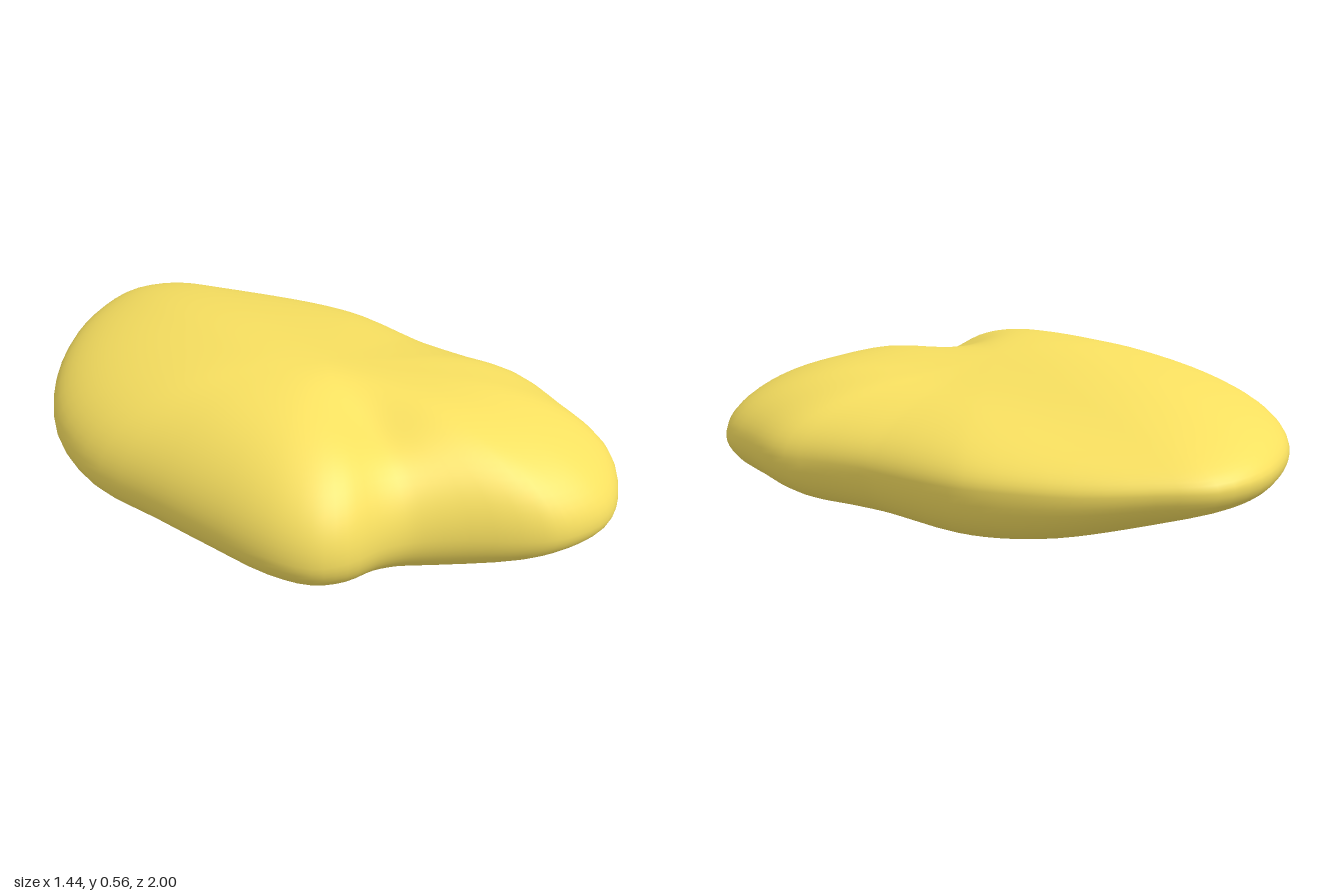
import * as THREE from 'three';
import { mergeVertices } from 'three/addons/utils/BufferGeometryUtils.js';

// Widest outline of the nugget, clockwise from the back: x, z, height of the rim
const OUTLINE = [
  [-0.04, -1, 0.345], [0.12, -0.97, 0.34], [0.24, -0.85, 0.33], [0.38, -0.67, 0.31], [0.5, -0.46, 0.3],
  [0.56, -0.3, 0.29], [0.6, 0, 0.27], [0.615, 0.08, 0.27], [0.665, 0.25, 0.26], [0.717, 0.41, 0.25],
  [0.69, 0.62, 0.23], [0.65, 0.81, 0.21], [0.53, 0.94, 0.2], [0.41, 0.998, 0.2], [0.28, 0.993, 0.2],
  [0.17, 0.95, 0.2], [0, 0.8, 0.2], [-0.09, 0.73, 0.2], [-0.16, 0.69, 0.2], [-0.25, 0.67, 0.21],
  [-0.38, 0.67, 0.22], [-0.48, 0.62, 0.22], [-0.56, 0.49, 0.23], [-0.62, 0.25, 0.24], [-0.67, 0, 0.24],
  [-0.72, -0.25, 0.24], [-0.69, -0.47, 0.26], [-0.57, -0.67, 0.3], [-0.38, -0.85, 0.33], [-0.21, -0.95, 0.34],
];
const CENTRE = { x: 0, z: 0.1 };

const bump = (x, z, cx, cz, wx, wz) => Math.exp(-(((x - cx) / wx) ** 2) - ((z - cz) / wz) ** 2);

// Upper level: high left ridge, lower right lobe and the valley between the lobes
function topLevel(x, z) {
  const ridge = 0.075 * (1 - THREE.MathUtils.smoothstep(x, -0.2, 0.3));
  return 0.483 + ridge
    + 0.025 * bump(x, z, -0.45, 0.2, 0.22, 0.35)
    + 0.027 * bump(x, z, 0.3, 0.6, 0.35, 0.4)
    - 0.05 * bump(x, z, -0.1, 0.45, 0.13, 0.18);
}

// Lower level: shallow keel toward the front, rising at the back
function bottomLevel(x, z) {
  return 0.055 - 0.062 * bump(x, z, 0, 0.57, 0.28, 0.33) + 0.14 * bump(x, z, 0, -0.95, 2, 0.38);
}

function nuggetGeometry(around = 90, rings = 24) {
  const curve = new THREE.CatmullRomCurve3(
    OUTLINE.map(([x, z, y]) => new THREE.Vector3(x, y, z)), true);
  const position = [], index = [];
  // Rings run from the middle of the underside, over the rim, to the middle of the top
  for (let i = 0; i <= 2 * rings; i++) {
    const s = Math.abs(Math.sin((i / rings) * Math.PI / 2));
    for (let j = 0; j < around; j++) {
      const rim = curve.getPoint(j / around);
      const x = CENTRE.x + (rim.x - CENTRE.x) * s;
      const z = CENTRE.z + (rim.z - CENTRE.z) * s;
      const rimY = THREE.MathUtils.lerp(0.27, rim.y, s);
      const upper = i > rings;
      const level = upper ? topLevel(x, z) : bottomLevel(x, z);
      // Fuller curve below the rim than above it
      const swell = Math.sqrt(Math.max(0, 1 - s ** (upper ? 2.5 : 6)));
      position.push(x, rimY + (level - rimY) * swell, z);
      if (i < 2 * rings) {
        const a = i * around + j, b = i * around + (j + 1) % around;
        const c = a + around, d = b + around;
        index.push(a, c, b, b, c, d);
      }
    }
  }
  let geometry = new THREE.BufferGeometry();
  geometry.setAttribute('position', new THREE.Float32BufferAttribute(position, 3));
  geometry.setIndex(index);
  geometry = mergeVertices(geometry, 1e-5);
  geometry.computeBoundingBox();
  geometry.translate(0, -geometry.boundingBox.min.y, 0);
  geometry.computeVertexNormals();
  return geometry;
}

export function createModel() {
  const group = new THREE.Group();
  group.name = 'nugget';
  const body = new THREE.Mesh(nuggetGeometry(), new THREE.MeshStandardMaterial({ color: 0xf8e060 }));
  body.name = 'nuggetBody';
  group.add(body);
  return group;
}
